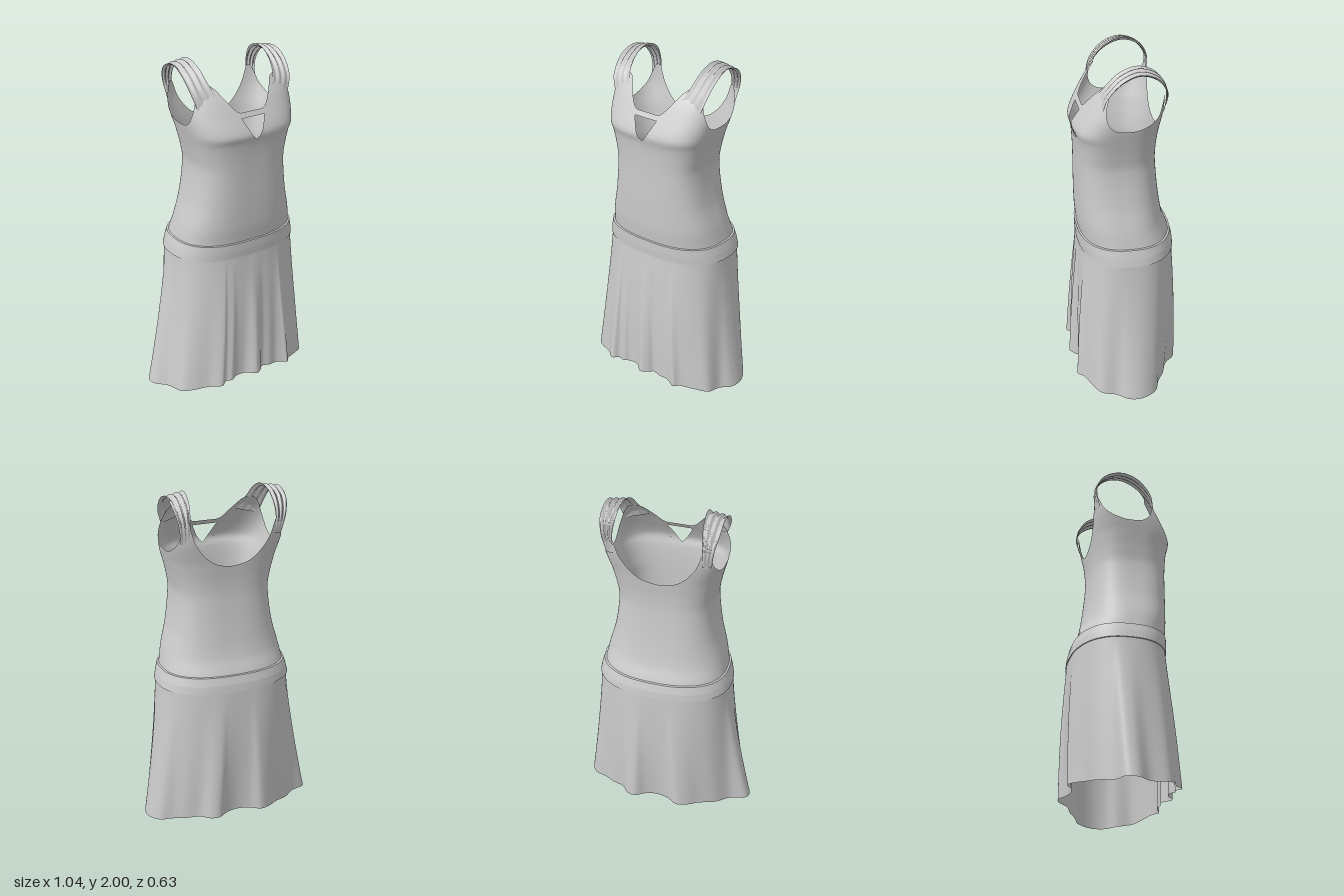
import * as THREE from 'three';
import { mergeVertices } from 'three/addons/utils/BufferGeometryUtils.js';

const CX = 0.022; // the body sits slightly off the middle

// Body profile: height, half width, front z, back z, roundness in front, roundness behind
const PROFILE = [
  [0.80, 0.400, 0.243, -0.295, 0.80, 0.85], [0.86, 0.388, 0.243, -0.290, 0.80, 0.85],
  [0.95, 0.367, 0.248, -0.275, 0.78, 0.83], [1.05, 0.345, 0.257, -0.237, 0.75, 0.80],
  [1.20, 0.305, 0.260, -0.210, 0.70, 0.73], [1.40, 0.280, 0.260, -0.190, 0.66, 0.67],
  [1.50, 0.293, 0.263, -0.190, 0.65, 0.64], [1.57, 0.309, 0.270, -0.196, 0.65, 0.62],
  [1.61, 0.319, 0.281, -0.200, 0.65, 0.60], [1.66, 0.331, 0.263, -0.206, 0.65, 0.56],
  [1.73, 0.343, 0.225, -0.215, 0.65, 0.52], [1.80, 0.342, 0.185, -0.220, 0.65, 0.50],
  [1.88, 0.334, 0.125, -0.222, 0.65, 0.50],
];

// Top edge: angle from the front in degrees, height
const TOP_EDGE = [
  [0, 1.735], [6, 1.737], [9, 1.755], [13, 1.79], [18, 1.83], [24, 1.87], [32, 1.885],
  [44, 1.875], [50, 1.845], [55, 1.81], [62, 1.76], [70, 1.72], [78, 1.69], [90, 1.663],
  [102, 1.675], [114, 1.70], [126, 1.74], [134, 1.80], [141, 1.835], [148, 1.82],
  [155, 1.74], [163, 1.66], [171, 1.61], [180, 1.587],
];

// Hem outline with its folds: x, z going round from the front towards +x
const HEM = [
  [0.02, 0.315], [0.06, 0.295], [0.09, 0.265], [0.14, 0.275], [0.19, 0.27], [0.23, 0.285],
  [0.26, 0.3], [0.29, 0.265], [0.37, 0.225], [0.44, 0.18], [0.46, 0.09], [0.505, 0.03],
  [0.515, -0.05], [0.47, -0.14], [0.39, -0.175], [0.33, -0.215], [0.25, -0.25], [0.2, -0.305],
  [0.15, -0.318], [0.09, -0.285], [0.02, -0.27], [-0.06, -0.285], [-0.12, -0.318], [-0.18, -0.3],
  [-0.25, -0.25], [-0.34, -0.2], [-0.42, -0.12], [-0.515, -0.08], [-0.522, -0.02], [-0.46, 0.06],
  [-0.43, 0.17], [-0.38, 0.21], [-0.29, 0.25], [-0.22, 0.3], [-0.18, 0.272], [-0.14, 0.285],
  [-0.1, 0.265], [-0.04, 0.27],
];

// Smooth interpolation in a table sorted by its first column
function lookup(table, x, col) {
  const n = table.length;
  let i = 0;
  while (i < n - 2 && x > table[i + 1][0]) i++;
  const slope = (k) => {
    const a = table[Math.max(k - 1, 0)], b = table[Math.min(k + 1, n - 1)];
    return (b[col] - a[col]) / (b[0] - a[0]);
  };
  const a = table[i], b = table[i + 1], h = b[0] - a[0];
  const t = THREE.MathUtils.clamp((x - a[0]) / h, 0, 1), t2 = t * t, t3 = t2 * t;
  return a[col] * (2 * t3 - 3 * t2 + 1) + b[col] * (3 * t2 - 2 * t3)
    + h * (slope(i) * (t3 - 2 * t2 + t) + slope(i + 1) * (t3 - t2));
}

const spow = (v, p) => Math.sign(v) * Math.abs(v) ** p;

// Point of the body at an angle and height, moved outwards by grow
function bodyPoint(theta, y, grow = 0) {
  const [hw, zf, zb] = [1, 2, 3].map((c) => lookup(PROFILE, y, c));
  const p = lookup(PROFILE, y, Math.cos(theta) > 0 ? 4 : 5);
  return [
    CX + (hw + grow) * spow(Math.sin(theta), p), y,
    (zf + zb) / 2 + ((zf - zb) / 2 + grow) * spow(Math.cos(theta), p),
  ];
}

function topEdge(theta) {
  const deg = Math.abs(THREE.MathUtils.radToDeg(theta));
  return lookup(TOP_EDGE, deg > 180 ? 360 - deg : deg, 1);
}

// Grid surface from a rule point(u, v) with u and v in 0..1
function surface(nu, nv, point) {
  const pos = [], index = [];
  for (let j = 0; j <= nv; j++) for (let i = 0; i <= nu; i++) pos.push(...point(i / nu, j / nv));
  for (let j = 0; j < nv; j++) {
    for (let i = 0; i < nu; i++) {
      const a = j * (nu + 1) + i, d = a + nu + 1;
      index.push(a, a + 1, d + 1, a, d + 1, d);
    }
  }
  let geo = new THREE.BufferGeometry();
  geo.setAttribute('position', new THREE.Float32BufferAttribute(pos, 3));
  geo.setIndex(index);
  geo = mergeVertices(geo, 1e-5);
  geo.computeVertexNormals();
  return geo;
}

export function createModel() {
  const dress = new THREE.Group();
  dress.name = 'dress';
  const cloth = new THREE.MeshStandardMaterial({ color: 0xcccccc, side: THREE.DoubleSide });
  cloth.name = 'grey cloth';
  const add = (name, geo) => {
    const mesh = new THREE.Mesh(geo, cloth);
    mesh.name = name;
    dress.add(mesh);
  };

  // Bodice, cut open at the front for the keyhole
  const K = 0.097, LOW = 0.93;
  const panel = (nu, nv, from, to, low, top) => surface(nu, nv, (u, v) => {
    const th = from + (to - from) * u;
    return bodyPoint(th, THREE.MathUtils.lerp(low(th), top(th), v));
  });
  const keyhole = (th) => 1.585 + 0.122 * Math.min(1, Math.abs(Math.sin(th) / Math.sin(K)));
  add('bodice', panel(200, 60, K, Math.PI * 2 - K, () => LOW, topEdge));
  add('frontPanel', panel(16, 60, -K, K, () => LOW, keyhole));
  add('neckBand', panel(16, 2, -K, K, () => 1.707, topEdge));

  // Gathered shoulder straps
  const curve = (pts) => new THREE.CatmullRomCurve3(pts.map((p) => new THREE.Vector3(...p)));
  const inner = curve([[0.165, 1.80, 0.172], [0.21, 1.885, 0.112], [0.225, 1.955, 0.035],
    [0.232, 1.987, -0.06], [0.24, 1.955, -0.155], [0.25, 1.87, -0.208], [0.25, 1.75, -0.206]]);
  const outer = curve([[0.30, 1.77, 0.145], [0.326, 1.85, 0.117], [0.338, 1.935, 0.035],
    [0.336, 1.968, -0.06], [0.335, 1.935, -0.155], [0.318, 1.86, -0.203], [0.298, 1.74, -0.182]]);
  const strap = (side) => surface(28, 40, (u, v) => {
    const p = inner.getPoint(v).lerp(outer.getPoint(v), u);
    const out = new THREE.Vector3(0, p.y - 1.82, p.z + 0.04).normalize();
    const fold = Math.sin(v * Math.PI) * (0.006 + 0.008 * Math.sin(u * 19 + v * 4));
    p.addScaledVector(out, fold);
    return [CX + side * p.x, p.y, p.z];
  });
  add('leftStrap', strap(1));
  add('rightStrap', strap(-1));

  // Hip band with a small step at its top and bottom edges
  const bandRows = [[0.957, -0.004], [0.954, 0.010], [0.905, 0.013], [0.86, 0.012], [0.858, 0.004]];
  for (let r = 0; r < bandRows.length - 1; r++) {
    const [y1, g1] = bandRows[r], [y0, g0] = bandRows[r + 1];
    add('hipBand', surface(144, 1, (u, v) => bodyPoint(u * Math.PI * 2,
      THREE.MathUtils.lerp(y0, y1, v), THREE.MathUtils.lerp(g0, g1, v))));
  }

  // Flared skirt whose folds deepen towards the hem
  const hem = new THREE.CatmullRomCurve3(HEM.map(([x, z]) => new THREE.Vector3(x, 0, z)), true);
  const TOP = 0.87;
  add('skirt', surface(228, 32, (u, v) => {
    const h = hem.getPoint(u % 1);
    const a = (h.x - CX) / 0.5, b = h.z / 0.31;
    const p = lookup(PROFILE, TOP, b > 0 ? 4 : 5);
    const theta = Math.atan2(spow(a, 1 / p), spow(b, 1 / p));
    const top = bodyPoint(theta, TOP, 0.008);
    const t = 1 - v, flare = t ** 1.25;
    const hemY = 0.06 * b * b / (a * a + b * b);
    const belly = 0.012 * Math.sin(Math.PI * t) * Math.cos(theta);
    return [
      THREE.MathUtils.lerp(top[0], h.x, flare),
      THREE.MathUtils.lerp(TOP, hemY, t),
      THREE.MathUtils.lerp(top[2], h.z, flare) + belly,
    ];
  }));
  return dress;
}
